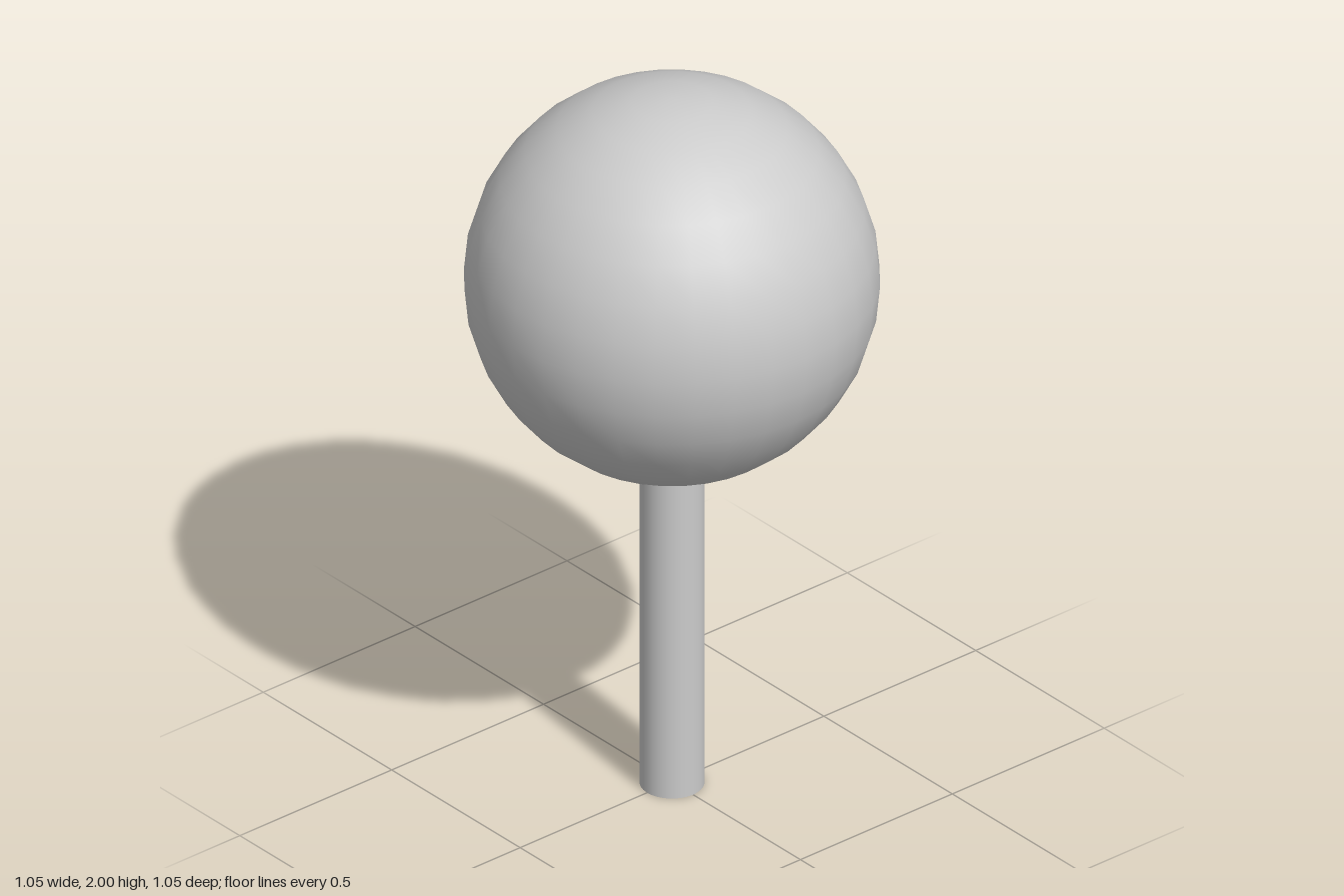
import * as THREE from 'three';

export function createModel() {
  const group = new THREE.Group();
  const material = new THREE.MeshStandardMaterial({ color: 0xcccccc });

  const add = (name, geometry, y) => {
    const mesh = new THREE.Mesh(geometry, material);
    mesh.name = name;
    mesh.position.y = y;
    group.add(mesh);
  };

  // Round head
  const radius = 0.525;
  add('ball', new THREE.SphereGeometry(radius, 32, 16), 2 - radius);

  // Straight stick, its top sunk slightly into the ball
  const stickHeight = 1;
  add('stick', new THREE.CylinderGeometry(0.082, 0.082, stickHeight, 32), stickHeight / 2);

  return group;
}
